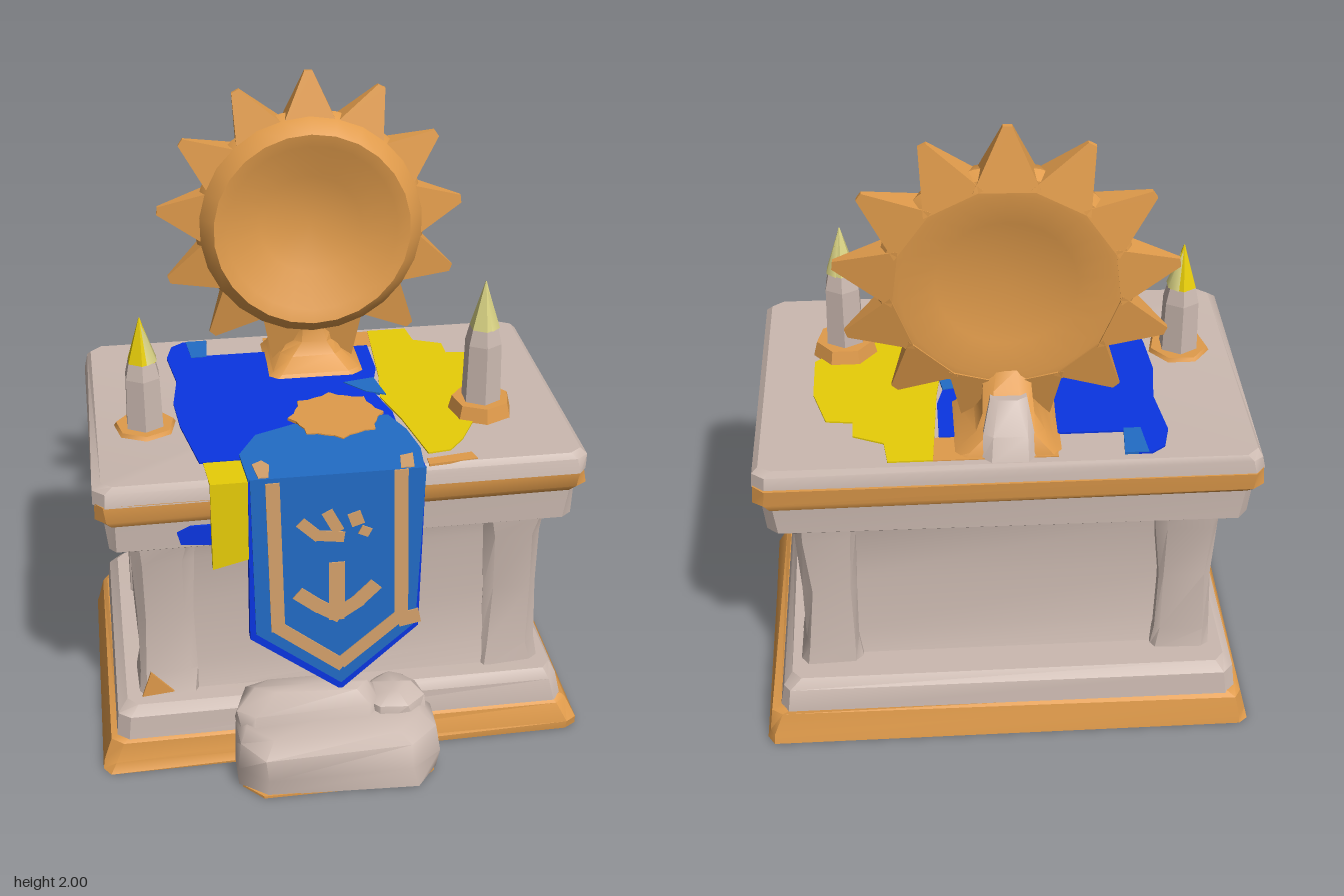
import * as THREE from 'three';
import { toCreasedNormals } from 'three/addons/utils/BufferGeometryUtils.js';

const mat = (name, color) => Object.assign(new THREE.MeshStandardMaterial({ color }), { name });

export function createModel() {
  const model = new THREE.Group();
  model.name = 'altar';
  const stone = mat('stone', 0xcbb9b0), gold = mat('gold', 0xe09b4b), blue = mat('blue cloth', 0x226cc6);
  const darkBlue = mat('dark blue cloth', 0x0a35e2), yellow = mat('yellow cloth', 0xe8ce08);
  const pale = mat('pale flame', 0xdcd585), tan = mat('tan trim', 0xd5a26c);

  let seed = 7;
  const rand = () => ((seed = (seed * 16807) % 2147483647) / 2147483647) - 0.5;

  function add(name, geo, material, parent = model) {
    const mesh = new THREE.Mesh(geo, material);
    mesh.name = name;
    parent.add(mesh);
    return mesh;
  }

  // Hewn block from stacked chamfered rectangles [y, x0, x1, z0, z1]
  function block(name, rings, material, cut = 0.03, wobble = 0.012, crease = 0.6) {
    const pos = [], idx = [], n = 8, last = rings.length - 1;
    for (const [y, x0, x1, z0, z1] of rings) {
      const outline = [[x0 + cut, z1], [x1 - cut, z1], [x1, z1 - cut], [x1, z0 + cut],
        [x1 - cut, z0], [x0 + cut, z0], [x0, z0 + cut], [x0, z1 - cut]];
      for (const [x, z] of outline) pos.push(x + rand() * wobble, y, z + rand() * wobble);
    }
    for (let i = 0; i < last; i++) for (let j = 0; j < n; j++) {
      const a = i * n + j, b = i * n + (j + 1) % n;
      idx.push(a, b, b + n, a, b + n, a + n);
    }
    for (const i of [0, last]) {
      const [y, x0, x1, z0, z1] = rings[i], c = pos.length / 3;
      pos.push((x0 + x1) / 2, y, (z0 + z1) / 2);
      for (let j = 0; j < n; j++) {
        const a = i * n + j, b = i * n + (j + 1) % n;
        idx.push(c, i ? a : b, i ? b : a);
      }
    }
    const geo = new THREE.BufferGeometry();
    geo.setAttribute('position', new THREE.Float32BufferAttribute(pos, 3));
    geo.setIndex(idx);
    return add(name, toCreasedNormals(geo, crease), material);
  }

  // Thin plates: lying flat (points are x, z) or facing front (points are x, y)
  const extrude = (pts, depth) => new THREE.ExtrudeGeometry(
    new THREE.Shape(pts.map(([x, y]) => new THREE.Vector2(x, y))), { depth, bevelEnabled: false });
  const flat = (name, pts, y, h, material) =>
    add(name, extrude(pts.map(([x, z]) => [x, -z]), h).rotateX(-Math.PI / 2).translate(0, y, 0), material);
  const upright = (name, pts, z, d, material) => add(name, extrude(pts, d).translate(0, 0, z), material);

  // Foot and plinth
  block('goldFoot', [[0, -0.765, 0.765, -0.595, 0.395], [0.03, -0.76, 0.76, -0.59, 0.395],
    [0.1, -0.735, 0.735, -0.575, 0.385], [0.115, -0.715, 0.715, -0.56, 0.37]], gold, 0.03, 0.02);
  block('plinth', [[0.11, -0.715, 0.715, -0.565, 0.375], [0.19, -0.705, 0.705, -0.555, 0.365],
    [0.22, -0.68, 0.68, -0.53, 0.34]], stone);

  // Body with recessed panels and four flared corner posts
  block('body', [[0.2, -0.6, 0.6, -0.44, 0.29], [0.3, -0.575, 0.575, -0.41, 0.265],
    [0.5, -0.57, 0.57, -0.4, 0.255], [0.7, -0.575, 0.575, -0.405, 0.265], [0.78, -0.6, 0.6, -0.43, 0.28]], stone);
  for (const sx of [-1, 1]) for (const sz of [-1, 1]) {
    const post = [[0.21, 0.1], [0.29, 0.088], [0.5, 0.083], [0.7, 0.09], [0.78, 0.1]].map(([y, r]) => {
      const x = sx * 0.545, z = -0.085 + sz * 0.285;
      return [y, x - r, x + r, z - r, z + r];
    });
    block('cornerPost', post, stone, 0.025, 0.016);
  }

  // Table top: stone, gold band, stone
  block('tableUnderside', [[0.765, -0.66, 0.66, -0.5, 0.31], [0.8, -0.705, 0.705, -0.545, 0.365],
    [0.91, -0.715, 0.715, -0.55, 0.37]], stone);
  block('tableBand', [[0.9, -0.72, 0.72, -0.555, 0.375], [0.92, -0.735, 0.735, -0.57, 0.39],
    [0.975, -0.735, 0.735, -0.57, 0.39]], gold);
  block('tableTop', [[0.97, -0.735, 0.735, -0.565, 0.39], [1.015, -0.735, 0.735, -0.565, 0.39],
    [1.033, -0.715, 0.715, -0.55, 0.375]], stone);

  // Rough front step on a gold sole
  flat('stepSole', [[-0.34, 0.3], [-0.34, 0.52], [-0.28, 0.585], [0.2, 0.585], [0.265, 0.53], [0.265, 0.3]], 0, 0.008, gold);
  block('step', [[0.006, -0.35, 0.27, 0.3, 0.59], [0.07, -0.35, 0.275, 0.3, 0.605],
    [0.15, -0.34, 0.265, 0.3, 0.59], [0.185, -0.31, 0.24, 0.3, 0.55]], stone, 0.08, 0.03, 1);
  block('stepStone', [[0.14, -0.34, 0.1, 0.3, 0.48], [0.22, -0.33, 0.1, 0.31, 0.46],
    [0.265, -0.27, 0.06, 0.33, 0.42]], stone, 0.04, 0.03, 1);
  block('stepStone', [[0.14, 0.07, 0.26, 0.3, 0.47], [0.21, 0.07, 0.24, 0.31, 0.45],
    [0.24, 0.1, 0.22, 0.33, 0.41]], stone, 0.04, 0.03, 1);

  // Cloths lying on the table
  flat('darkBlueCloth', [[-0.47, -0.42], [-0.45, -0.5], [-0.41, -0.53], [-0.37, -0.53], [-0.36, -0.42], [0.2, -0.42],
    [0.2, -0.25], [0.16, -0.1], [0.2, 0.05], [0.2, 0.15], [-0.28, 0.22], [-0.3, 0.28], [-0.42, 0.28],
    [-0.46, 0.05], [-0.47, -0.1], [-0.45, -0.25]], 1.03, 0.009, darkBlue);
  flat('blueClothEdge', [[-0.4, -0.53], [-0.33, -0.53], [-0.34, -0.41], [-0.39, -0.41]], 1.032, 0.009, blue);
  flat('blueClothFold', [[0.08, -0.16], [0.18, -0.18], [0.2, -0.06], [0.14, -0.09]], 1.034, 0.008, blue);
  flat('blueRunner', [[-0.3, 0.26], [-0.24, 0.15], [-0.12, 0.1], [0.18, 0.08], [0.22, 0.18],
    [0.24, 0.3], [0.23, 0.41], [-0.29, 0.41]], 1.036, 0.009, blue);
  flat('yellowCloth', [[0.22, -0.53], [0.35, -0.53], [0.36, -0.44], [0.45, -0.4], [0.45, -0.33], [0.53, -0.32],
    [0.57, -0.18], [0.57, 0], [0.46, 0.1], [0.38, 0.25], [0.33, 0.31], [0.26, 0.32], [0.22, 0.1],
    [0.18, -0.05], [0.2, -0.2]], 1.03, 0.008, yellow);
  flat('goldClothEdge', [[-0.14, -0.53], [0.22, -0.53], [0.22, -0.42], [-0.14, -0.42]], 1.028, 0.008, gold);
  flat('goldTableChip', [[0.25, 0.35], [0.39, 0.33], [0.4, 0.37], [0.25, 0.385]], 1.028, 0.008, gold);
  flat('runnerTrim', [[-0.27, 0.33], [-0.24, 0.31], [-0.22, 0.34], [-0.23, 0.41], [-0.26, 0.41]], 1.039, 0.009, tan);
  flat('runnerTrim', [[0.17, 0.34], [0.21, 0.33], [0.2, 0.41], [0.16, 0.41]], 1.039, 0.009, tan);
  flat('yellowFlapTop', [[-0.41, 0.27], [-0.29, 0.27], [-0.29, 0.41], [-0.4, 0.41]], 1.028, 0.008, yellow);
  upright('yellowFlap', [[-0.4, 1.03], [-0.4, 0.74], [-0.28, 0.77], [-0.28, 1.03]], 0.375, 0.03, yellow);
  upright('bluePatch', [[-0.5, 0.86], [-0.49, 0.82], [-0.4, 0.81], [-0.4, 0.88], [-0.46, 0.88]], 0.371, 0.007, darkBlue);
  upright('goldChip', [[-0.63, 0.22], [-0.53, 0.23], [-0.6, 0.31]], 0.3, 0.008, gold);

  // Hanging banner: dark backing, blue face, trim and chevron strokes
  upright('bannerBacking', [[-0.29, 1.04], [-0.295, 0.48], [-0.015, 0.26], [0.225, 0.48], [0.235, 1.04]],
    0.375, 0.035, darkBlue);
  upright('bannerFace', [[-0.285, 1.045], [-0.277, 0.5], [-0.015, 0.29], [0.215, 0.495], [0.235, 1.045]],
    0.408, 0.008, blue);
  function strokes(name, pts, width) {
    for (let i = 0; i + 1 < pts.length; i++) {
      const [ax, ay] = pts[i], [bx, by] = pts[i + 1], len = Math.hypot(bx - ax, by - ay);
      const ux = (bx - ax) / len * width / 2, uy = (by - ay) / len * width / 2;
      upright(name, [[ax - uy, ay + ux], [ax + uy, ay - ux], [bx + uy + ux * 0.7, by - ux + uy * 0.7],
        [bx - uy + ux * 0.7, by + ux + uy * 0.7]], 0.414, 0.006, tan);
    }
  }
  strokes('bannerTrim', [[-0.22, 1.03], [-0.21, 0.52], [-0.02, 0.365], [0.17, 0.53], [0.16, 1.03]], 0.042);
  strokes('trimCorner', [[0.16, 0.51], [0.21, 0.52]], 0.05);
  strokes('bannerChevron', [[-0.15, 0.64], [-0.09, 0.59], [-0.03, 0.55], [0.03, 0.59], [0.08, 0.64]], 0.045);
  strokes('bannerStem', [[-0.03, 0.74], [-0.03, 0.55]], 0.048);
  strokes('bannerUpperStroke', [[-0.14, 0.89], [-0.09, 0.84], [-0.02, 0.83]], 0.035);
  strokes('bannerUpperStroke', [[-0.06, 0.92], [-0.03, 0.86]], 0.035);
  strokes('bannerDot', [[0.02, 0.91], [0.03, 0.88]], 0.04);
  strokes('bannerDot', [[0.04, 0.85], [0.06, 0.84]], 0.03);

  // Toothed gold medallion on the table
  const medal = [];
  for (let i = 0; i < 32; i++) {
    const a = i / 32 * Math.PI * 2, r = i % 4 ? 0.13 : 0.15;
    medal.push([0.02 + Math.sin(a) * r, 0.065 + Math.cos(a) * r]);
  }
  flat('medallion', medal, 1.04, 0.009, gold);

  // Sun stand with a stone wedge behind
  block('sunBase', [[1.02, -0.17, 0.17, -0.53, -0.2], [1.05, -0.14, 0.14, -0.52, -0.22],
    [1.09, -0.1, 0.1, -0.5, -0.27], [1.13, -0.07, 0.07, -0.47, -0.29],
    [1.19, -0.065, 0.065, -0.42, -0.29], [1.24, -0.065, 0.065, -0.38, -0.29]], gold);
  block('standStone', [[1.03, -0.075, 0.075, -0.545, -0.4], [1.1, -0.07, 0.07, -0.52, -0.4],
    [1.18, -0.05, 0.05, -0.45, -0.39]], stone, 0.02);

  // Sun: dished disc with a ring of broad blunt rays
  const sun = new THREE.Group();
  sun.name = 'sun';
  sun.position.set(0, 1.52, -0.335);
  sun.rotation.set(-0.05, -0.04, 0);
  model.add(sun);
  const profile = [[0, -0.025], [0.2, -0.04], [0.3, -0.068], [0.35, -0.06], [0.365, -0.02],
    [0.35, 0.03], [0.31, 0.07], [0.27, 0.06], [0.16, 0.01], [0, -0.005]];
  const disc = new THREE.LatheGeometry(profile.map(([r, z]) => new THREE.Vector2(r, z)), 26).rotateX(Math.PI / 2);
  add('sunDisc', toCreasedNormals(disc, 0.6), gold, sun);
  const rays = 13;
  for (let i = 0; i < rays; i++) {
    const ray = new THREE.CylinderGeometry(0.018, 0.13, 0.175, 4).rotateY(Math.PI / 4)
      .scale(1, 1, 0.55).translate(0, 0.398, -0.02);
    add('sunRay', toCreasedNormals(ray, 0.5), gold, sun).rotation.z = -i / rays * Math.PI * 2;
  }

  // Candles with hexagonal holders and pointed flames
  function candle(name, x, z, holderTop, waxTop, tip, sideMat) {
    const group = new THREE.Group();
    group.name = name;
    group.position.set(x, 0, z);
    model.add(group);
    const part = (label, r0, r1, y0, y1, sides, m) => add(label, toCreasedNormals(
      new THREE.CylinderGeometry(r1, r0, y1 - y0, sides).translate(0, (y0 + y1) / 2, 0), 0.8), m, group);
    part('holder', 0.105, 0.09, 1.02, holderTop, 7, gold);
    part('wax', 0.063, 0.058, holderTop - 0.01, waxTop - 0.05, 6, stone);
    part('waxTip', 0.058, 0.046, waxTop - 0.05, waxTop, 6, stone);
    part('flame', 0.046, 0.002, waxTop, tip, 6, sideMat);
    // Pale half of the flame
    add('flameHighlight', new THREE.ConeGeometry(0.049, tip - waxTop, 3, 1, false, 0.3, Math.PI * 0.8)
      .translate(0, (tip + waxTop) / 2 + 0.002, 0), pale, group);
  }
  candle('rightCandle', -0.565, 0.025, 1.045, 1.26, 1.4, yellow);
  candle('leftCandle', 0.475, 0.07, 1.08, 1.32, 1.47, pale);
  return model;
}
